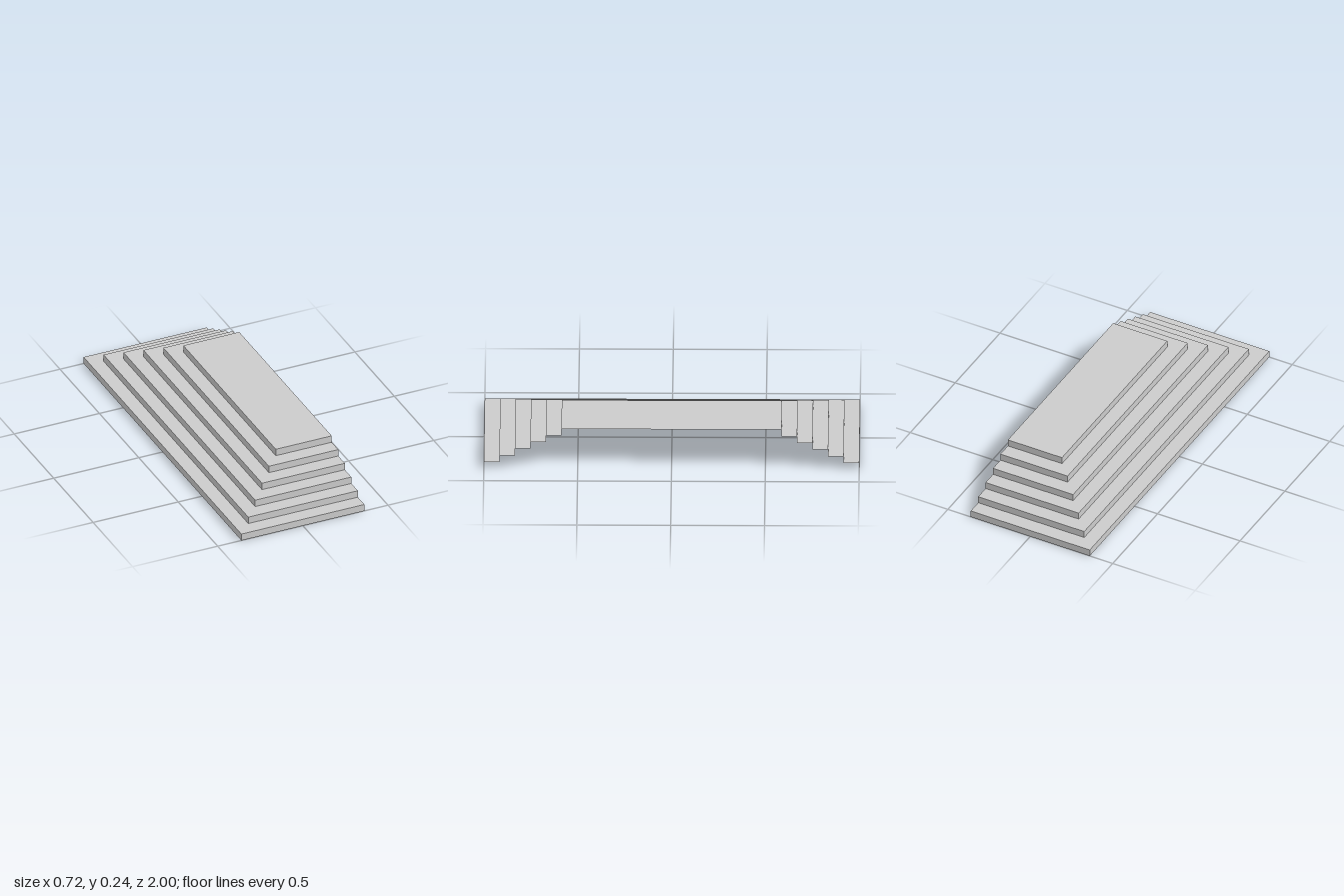
import * as THREE from 'three';

const STEPS = 6, RISE = 0.04, BACK = 0.361;
const material = new THREE.MeshStandardMaterial({ color: 0xcccccc, flatShading: true, side: THREE.DoubleSide });

// Outer edge of each step: left end x and half length in z
const edgeX = i => -0.361 + 0.0787 * i;
const halfZ = i => 1 - 0.0827 * i;

// Thin upright or flat panel
function panel(name, w, h, x, y, z, turnY) {
  const mesh = new THREE.Mesh(new THREE.PlaneGeometry(w, h), material);
  mesh.name = name;
  mesh.position.set(x, y, z);
  mesh.rotation.y = turnY;
  return mesh;
}

// Flat tread: U-shaped around the next step, or a full platform on top
function tread(i) {
  const x = edgeX(i), z = halfZ(i);
  const points = [[BACK, -z], [BACK, z], [x, z], [x, -z]];
  if (i < STEPS - 1) {
    const nx = edgeX(i + 1), nz = halfZ(i + 1);
    points.splice(1, 0, [BACK, -nz], [nx, -nz], [nx, nz], [BACK, nz]);
  }
  const shape = new THREE.Shape(points.map(p => new THREE.Vector2(...p)));
  const mesh = new THREE.Mesh(new THREE.ShapeGeometry(shape).rotateX(-Math.PI / 2), material);
  mesh.name = i < STEPS - 1 ? 'tread' : 'topPlatform';
  mesh.position.y = (i + 1) * RISE;
  return mesh;
}

export function createModel() {
  const model = new THREE.Group();
  model.name = 'steppedPlatform';
  for (let i = 0; i < STEPS; i++) {
    const step = new THREE.Group();
    step.name = 'step' + (i + 1);
    const x = edgeX(i), z = halfZ(i), y = (i + 0.5) * RISE;
    const width = BACK - x, midX = (BACK + x) / 2;
    // Risers on three sides; the +x side and the underside stay open
    step.add(
      panel('frontRiser', width, RISE, midX, y, z, 0),
      panel('backRiser', width, RISE, midX, y, -z, Math.PI),
      panel('sideRiser', 2 * z, RISE, x, y, 0, -Math.PI / 2),
      tread(i)
    );
    model.add(step);
  }
  return model;
}
